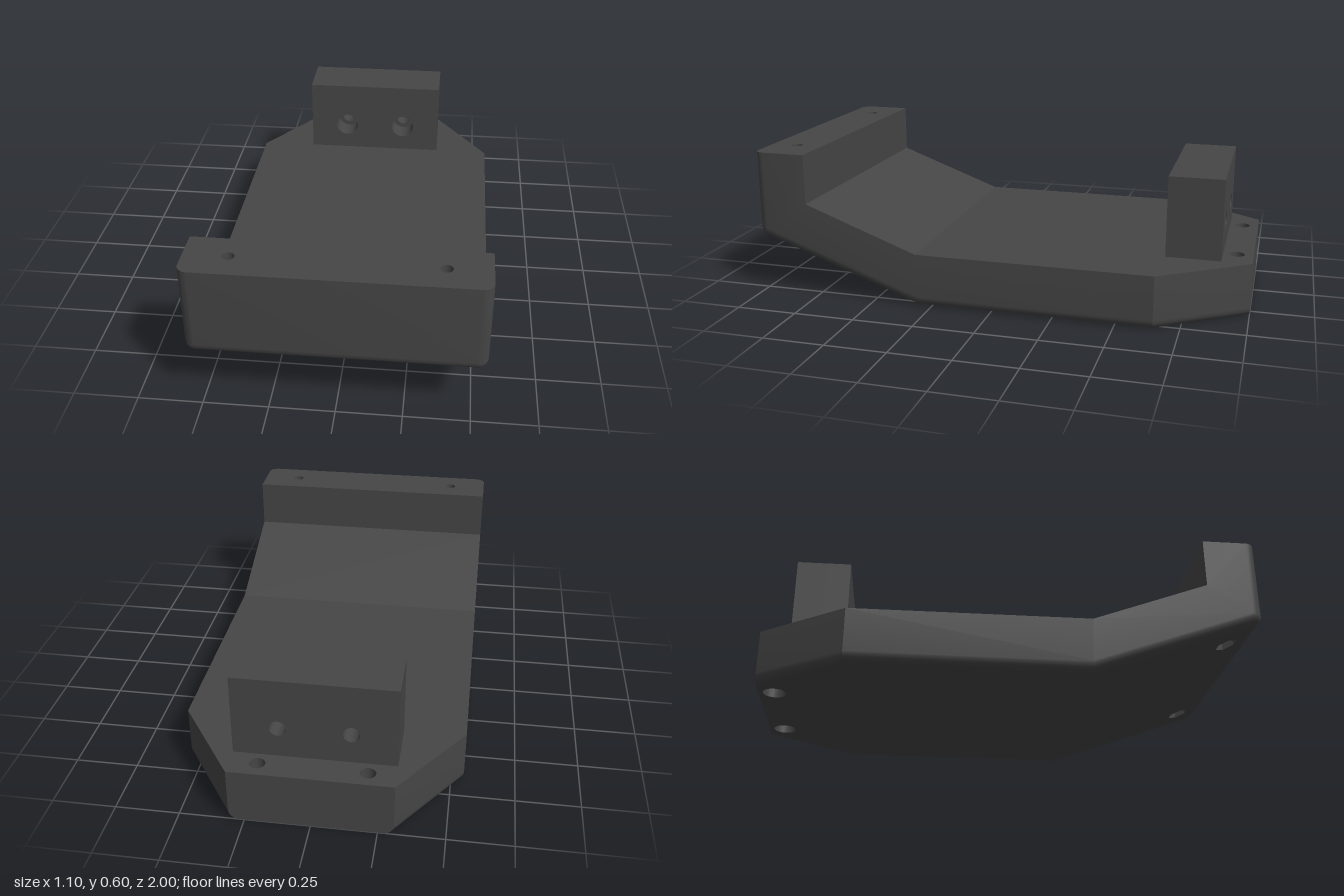
import * as THREE from 'three';
import { mergeVertices, toCreasedNormals } from 'three/addons/utils/BufferGeometryUtils.js';

const material = new THREE.MeshStandardMaterial({ color: 0x464646 });
const boreMaterial = new THREE.MeshStandardMaterial({ color: 0x464646, side: THREE.DoubleSide });

const R = 0.04;                       // fillet radius of the outer edges
const SLOPE = 0.25 / 0.69;            // rise of the ramp underside
const rampY = z => (z - 0.31) * SLOPE;

const ring = (x, y, r, n) => Array.from({ length: n }, (_, i) => {
  const a = (i / n) * Math.PI * 2;
  return new THREE.Vector2(x + r * Math.cos(a), y + r * Math.sin(a));
});

function shapeOf(points, holes = []) {
  const shape = new THREE.Shape(points);
  shape.holes = holes.map(h => new THREE.Path(h));
  return shape;
}

// Flat panel whose 2D points are carried into space by a rule
function panel(points, holes, place, flip) {
  const g = new THREE.ShapeGeometry(shapeOf(points, holes));
  const p = g.attributes.position;
  for (let i = 0; i < p.count; i++) p.setXYZ(i, ...place(p.getX(i), p.getY(i)));
  if (flip) g.index.array.reverse();
  g.computeVertexNormals();
  return g;
}

// Stations along the body: outer point, inward direction, inner point, half width (all z, y)
function bodyStations() {
  const a = Math.atan(SLOPE);
  const list = [
    { o: [-1, 0], d: [0, 1], i: [-1, 0.22], w: 0.31 },
    { o: [-0.65, 0], d: [0, 1], i: [-0.65, 0.22], w: 0.55 },
    { o: [0.31, 0], d: [-Math.tan(a / 2), 1], i: [0.31, 0.22], w: 0.55 },
  ];
  const cz = 1 - R;
  const cy = 0.25 + (R - R * Math.sin(a)) / Math.cos(a);
  for (let k = 0; k <= 6; k++) {
    const t = (a - Math.PI / 2) * (1 - k / 6);
    const c = Math.cos(t), s = Math.sin(t);
    list.push({ o: [cz + R * c, cy + R * s], d: [-c, -s], i: [0.78, 0.395], w: 0.55 });
  }
  list.push({ o: [1, 0.6], d: [-1, 0], i: [0.78, 0.6], w: 0.55 });
  return list;
}

// Section: inner edge, rounded outer corner, then the mirrored half
function section({ o, d, i, w }) {
  const half = [[w, i[1], i[0]]];
  for (let k = 0; k <= 6; k++) {
    const t = (k / 6) * Math.PI / 2;
    const depth = R * (1 - Math.sin(t));
    half.push([w - R + R * Math.cos(t), o[1] + d[1] * depth, o[0] + d[0] * depth]);
  }
  return [...half, ...half.map(([x, y, z]) => [-x, y, z]).reverse()];
}

function loft(sections, skip) {
  const pos = [];
  const same = (a, b) => a.every((v, k) => Math.abs(v - b[k]) < 1e-6);
  const tri = (a, b, c) => {
    if (!same(a, b) && !same(b, c) && !same(a, c)) pos.push(...a, ...b, ...c);
  };
  for (let s = 0; s < sections.length - 1; s++) {
    const A = sections[s], B = sections[s + 1], n = A.length;
    for (let i = 0; i < n; i++) {
      if (skip(s, i)) continue;
      const j = (i + 1) % n;
      tri(A[i], B[i], A[j]);
      tri(A[j], B[i], B[j]);
    }
  }
  const g = new THREE.BufferGeometry();
  g.setAttribute('position', new THREE.Float32BufferAttribute(pos, 3));
  return toCreasedNormals(mergeVertices(g), 0.3);
}

// Open wall of a bore; its lower rim follows a rule
function boreWall(x, z, r, n, top, bottom) {
  const g = new THREE.CylinderGeometry(r, r, 1, n, 1, true, Math.PI / 2);
  g.translate(x, 0, z);
  const p = g.attributes.position;
  for (let i = 0; i < p.count; i++) p.setY(i, p.getY(i) > 0 ? top : bottom(p.getZ(i)));
  return n < 8 ? toCreasedNormals(g, 0.3) : g;
}

export function createModel() {
  const group = new THREE.Group();
  const add = (name, geometry, mat = material) => {
    const mesh = new THREE.Mesh(geometry, mat);
    mesh.name = name;
    group.add(mesh);
  };
  const V = (x, y) => new THREE.Vector2(x, y);
  const pair = (x, z, r, n) => [-x, x].map(px => ring(px, z, r, n));

  // Body skin, leaving the drilled faces open
  const stations = bodyStations();
  const sections = stations.map(section);
  add('body', loft(sections, (s, i) => (s === 0 && (i === 7 || i === 15)) || (s === 2 && i === 7)));

  // Rear end and lip top
  add('rearFace', panel(sections[0].map(p => V(p[0], p[1])), [], (x, y) => [x, y, -1], true));
  add('lipTop', panel(sections.at(-1).map(p => V(p[0], p[2])), pair(0.385, 0.89, 0.023, 24),
    (x, z) => [x, 0.6, z], true));

  // Drilled faces of the tapered tail and the ramp
  const tail = inset => [V(-0.31 + inset, -1), V(0.31 - inset, -1), V(0.55 - inset, -0.65), V(-0.55 + inset, -0.65)];
  add('tailTop', panel(tail(0), pair(0.205, -0.935, 0.03, 24), (x, z) => [x, 0.22, z], true));
  add('tailUnderside', panel(tail(R), pair(0.205, -0.935, 0.046, 24), (x, z) => [x, 0, z], false));
  const e = 0.55 - R, zEnd = stations[3].o[0];
  add('rampUnderside', panel([V(-e, 0.31), V(e, 0.31), V(e, zEnd), V(-e, zEnd)],
    pair(0.385, 0.89, 0.045, 6), (x, z) => [x, rampY(z), z], false));

  // Screw holes with round recesses at the tail and hexagonal pockets under the lip
  const drill = (name, x, z, r, top, mid, R2, n, bottom) => {
    add(name + 'Bore', boreWall(x, z, r, 24, top, () => mid), boreMaterial);
    add(name + 'Pocket', boreWall(x, z, R2, n, mid, bottom), boreMaterial);
    add(name + 'Step', panel(ring(x, z, R2, n), [ring(x, z, r, 24)], (px, pz) => [px, mid, pz], false));
  };
  for (const side of [-1, 1]) {
    drill('tailHole', side * 0.205, -0.935, 0.03, 0.22, 0.1, 0.046, 24, () => 0);
    drill('lipHole', side * 0.385, 0.89, 0.023, 0.6, 0.36, 0.045, 6, rampY);
  }

  // Upright mounting block with stepped holes
  const layer = (name, r, z, depth) => {
    const outline = [V(-0.31, 0.22), V(0.31, 0.22), V(0.31, 0.55), V(-0.31, 0.55)];
    const g = new THREE.ExtrudeGeometry(shapeOf(outline, pair(0.137, 0.343, r, 24)),
      { depth, bevelEnabled: false });
    g.translate(0, 0, z);
    add(name, toCreasedNormals(g, 0.4));
  };
  layer('mountBlockRear', 0.032, -0.88, 0.12);
  layer('mountBlockFront', 0.053, -0.76, 0.1);

  return group;
}
